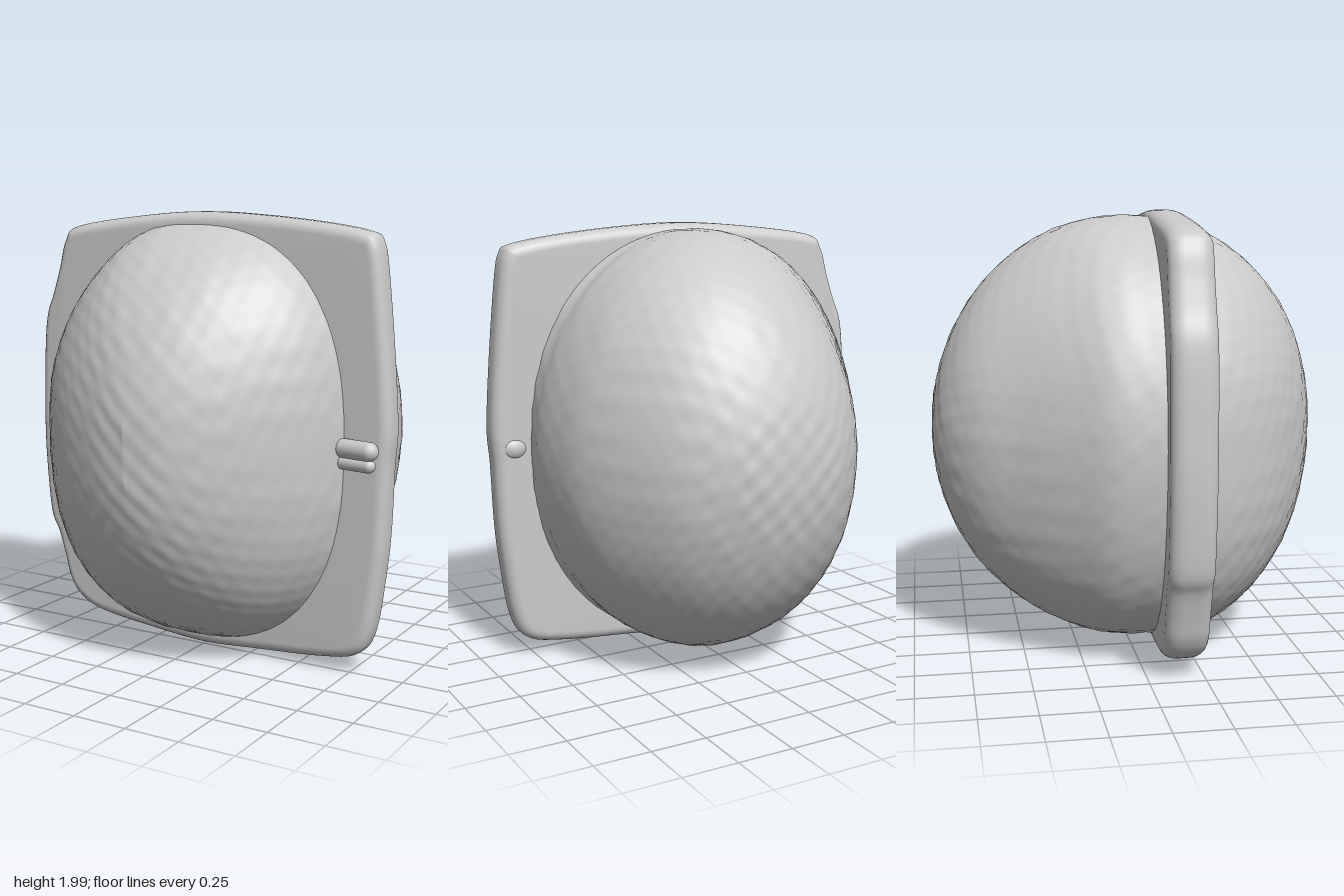
import * as THREE from 'three';
import { toCreasedNormals, mergeVertices } from 'three/addons/utils/BufferGeometryUtils.js';

const material = new THREE.MeshStandardMaterial({ color: 0xcccccc, side: THREE.DoubleSide });
const { smoothstep } = THREE.MathUtils;

// Rounded body: superellipse sections lofted from back to front
function bodyGeometry() {
  // each section: right edge x, left edge x, z
  const sections = new THREE.CatmullRomCurve3([
    [0, 0, -0.89], [-0.13, 0.15, -0.88], [-0.27, 0.29, -0.835], [-0.43, 0.48, -0.71],
    [-0.56, 0.63, -0.52], [-0.69, 0.735, -0.32], [-0.78, 0.77, -0.16], [-0.81, 0.78, 0],
    [-0.82, 0.76, 0.13], [-0.795, 0.725, 0.28], [-0.73, 0.66, 0.43], [-0.615, 0.54, 0.58],
    [-0.455, 0.4, 0.715], [-0.28, 0.265, 0.81], [-0.13, 0.14, 0.865], [0, 0, 0.885],
  ].map(p => new THREE.Vector3(...p)));
  const rows = 120, cols = 160, positions = [], index = [];
  const spow = (v, e) => Math.sign(v) * Math.abs(v) ** e;
  for (let i = 0; i <= rows; i++) {
    const s = sections.getPoint(i / rows);
    const front = smoothstep(s.z, 0.05, 0.25);
    const halfY = (0.978 + 0.012 * front) * Math.sqrt(Math.max(0, 1 - (s.z / 0.89) ** 2));
    const cx = (s.x + s.y) / 2, halfX = (s.y - s.x) / 2;
    // squarest in front of the plate, rounder towards the back and the tip
    const square = 0.45 * front * Math.min(1, halfY / 0.9);
    for (let j = 0; j <= cols; j++) {
      const a = (j % cols) / cols * Math.PI * 2, c = Math.cos(a), n = Math.sin(a);
      // the upper right shoulder is rounder, the lower right one fuller at the back
      const upperRight = c < 0 && n > 0 ? -2 * c * n : 0;
      const lowerRight = c < 0 && n < 0 ? 2 * c * n : 0;
      const e = 2 / (2 + square * (1 - 0.75 * upperRight) + 0.25 * lowerRight * (1 - front));
      const x = cx + halfX * spow(c, e), y = halfY * spow(n, e);
      // shallow hammered dimples
      const k = 1 + 0.004 * Math.sin(x * 50 + y * 9) * Math.sin(y * 46) * Math.cos(s.z * 40);
      positions.push(x * k, 1 + y * k, s.z * k);
      if (i < rows && j < cols) {
        const p = i * (cols + 1) + j, q = p + cols + 1;
        index.push(p, p + 1, q, p + 1, q + 1, q);
      }
    }
  }
  let g = new THREE.BufferGeometry();
  g.setAttribute('position', new THREE.Float32BufferAttribute(positions, 3));
  g.setIndex(index);
  g = mergeVertices(g, 1e-5);
  g.computeVertexNormals();
  return g;
}

// Upright plate with a soft, uneven square outline
function plateGeometry() {
  const outline = new THREE.SplineCurve([
    [-0.935, 1], [-0.93, 0.8], [-0.905, 0.53], [-0.86, 0.43], [-0.82, 0.3], [-0.79, 0.2],
    [-0.73, 0.12], [-0.6, 0.06], [-0.3, 0.025], [0, 0.005], [0.3, 0.025], [0.6, 0.05],
    [0.78, 0.09], [0.85, 0.2], [0.89, 0.45], [0.91, 0.65], [0.92, 0.93], [0.93, 1.1],
    [0.91, 1.4], [0.875, 1.75], [0.85, 1.88], [0.8, 1.92], [0.6, 1.955], [0.3, 1.985],
    [0, 2], [-0.3, 1.985], [-0.7, 1.935], [-0.78, 1.87], [-0.82, 1.74], [-0.86, 1.62],
    [-0.905, 1.5], [-0.925, 1.3], [-0.935, 1],
  ].map(p => new THREE.Vector2(...p)));
  const g = new THREE.ExtrudeGeometry(new THREE.Shape(outline.getPoints(150).slice(0, -1)), {
    depth: 0.05, bevelThickness: 0.06, bevelSize: 0.05, bevelOffset: -0.05,
    bevelSegments: 6, curveSegments: 1,
  });
  // lean the plate a little, and let its right side run thicker at the back
  const p = g.attributes.position;
  for (let i = 0; i < p.count; i++) {
    const x = p.getX(i), z = p.getZ(i) - 0.025;
    p.setZ(i, 0.187 + 0.035 * x + z * (1 - 0.2 * x));
  }
  return toCreasedNormals(g, 0.9);
}

export function createModel() {
  const model = new THREE.Group();
  const add = (name, geometry, parent = model) => {
    const mesh = new THREE.Mesh(geometry, material);
    mesh.name = name;
    parent.add(mesh);
    return mesh;
  };
  add('roundedBody', bodyGeometry());
  add('squarePlate', plateGeometry());

  // Small two-bar clasp on the left edge of the plate
  const clasp = new THREE.Group();
  clasp.name = 'clasp';
  for (const [y, r] of [[1.012, 0.042], [0.95, 0.03]]) {
    const bar = add('claspBar', new THREE.CapsuleGeometry(r, 0.13, 6, 16), clasp);
    bar.position.set(0.79, y, 0.308);
    bar.rotation.set(0, -0.2, Math.PI / 2);
  }
  model.add(clasp);
  // Low knob behind the clasp
  const knob = add('claspKnob', new THREE.SphereGeometry(0.05, 20, 14));
  knob.scale.set(1.2, 1, 0.7);
  knob.position.set(0.83, 1.01, 0.165);
  return model;
}
